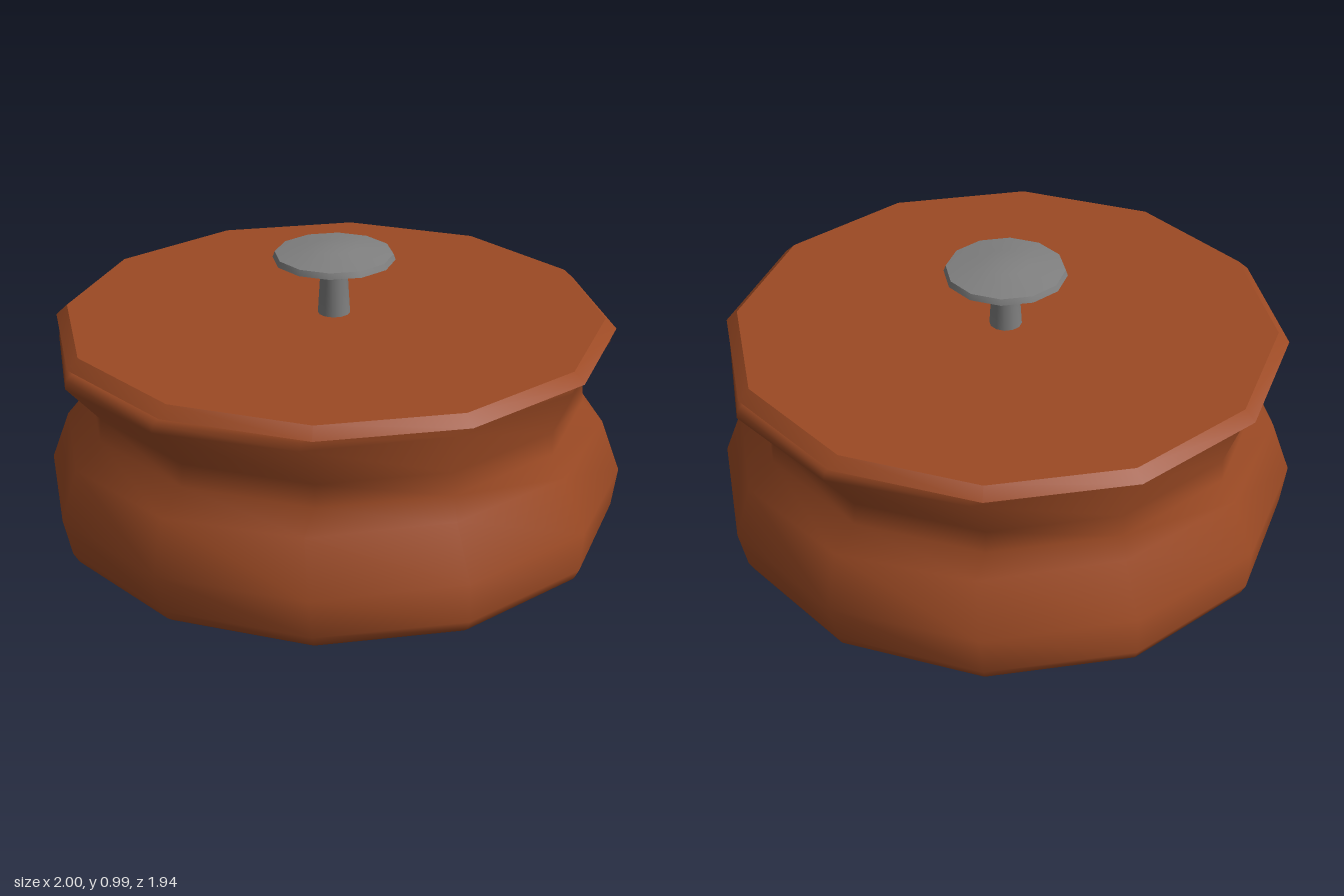
import * as THREE from 'three';
import { mergeVertices, toCreasedNormals } from 'three/addons/utils/BufferGeometryUtils.js';

const SIDES = 12;

// Turned shape from rings [y, radius along x, radius along z], bottom to top
function turned(rings, creaseAngle) {
  const points = rings.map(([y, rx]) => new THREE.Vector2(rx, y));
  let geo = new THREE.LatheGeometry(points, SIDES);
  const pos = geo.attributes.position;
  for (let i = 0; i < pos.count; i++) {
    const [, rx, rz = rx] = rings[i % rings.length];
    if (rx > 0) pos.setZ(i, pos.getZ(i) * rz / rx);
  }
  // Weld the seam so the shading runs all the way round
  geo.deleteAttribute('uv');
  geo.deleteAttribute('normal');
  geo = mergeVertices(geo, 1e-4);
  geo.computeVertexNormals();
  return creaseAngle ? toCreasedNormals(geo, creaseAngle) : geo;
}

export function createModel() {
  const model = new THREE.Group();
  model.name = 'liddedPot';

  const clay = new THREE.MeshStandardMaterial({ color: 0x9c4a24 });
  clay.name = 'terracotta';
  const metal = new THREE.MeshStandardMaterial({ color: 0x808080 });
  metal.name = 'grey metal';

  const add = (name, geometry, material) => {
    const mesh = new THREE.Mesh(geometry, material);
    mesh.name = name;
    model.add(mesh);
  };

  // Body: the rim and belly flare further sideways than front to back
  add('potBody', turned([
    [0, 0],
    [0, 0.93, 0.935],
    [0.015, 0.95, 0.955],
    [0.05, 0.97, 0.972],
    [0.18, 1.0, 0.968],
    [0.355, 0.945, 0.875],
    [0.44, 0.855, 0.852],
    [0.52, 0.85, 0.85],
    [0.65, 0.965, 0.868],
    [0.68, 0.96, 0.873],
    [0.703, 0.93, 0.877],
    [0.703, 0],
  ]), clay);

  // Lid: thin plate with a sloped edge, just above the rim
  add('lid', turned([
    [0.714, 0],
    [0.714, 0.955],
    [0.75, 0.917],
    [0.75, 0],
  ], 0.6), clay);

  // Knob stem, flaring into the underside of the cap
  add('knobStem', turned([
    [0.748, 0.055],
    [0.88, 0.047],
    [0.9, 0.06],
  ]), metal);

  // Knob cap: shallow dome with a narrow rim
  add('knobCap', turned([
    [0.895, 0.045],
    [0.905, 0.075],
    [0.943, 0.207],
    [0.963, 0.2],
    [0.985, 0.08],
    [0.99, 0],
  ], 0.7), metal);

  return model;
}
